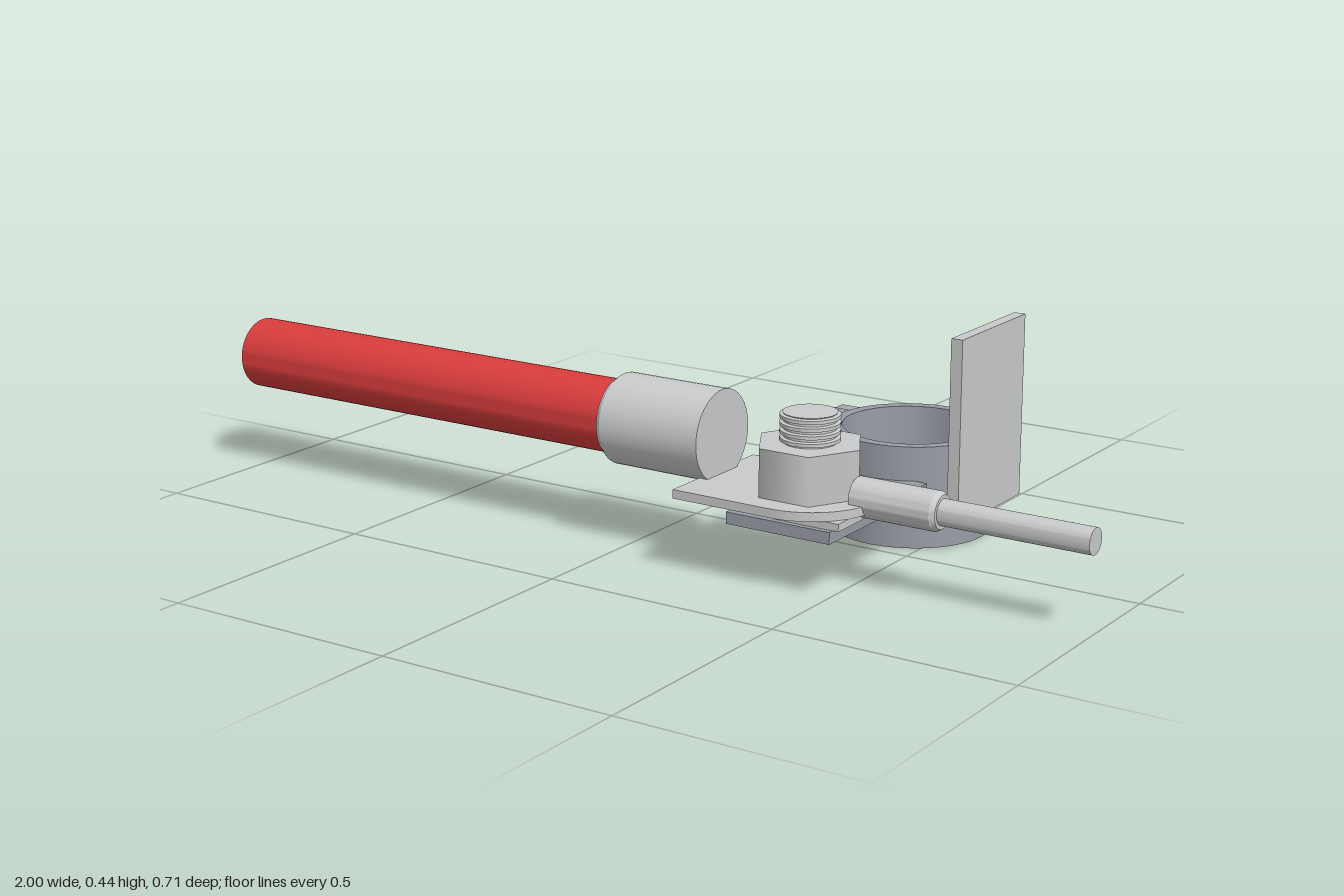
import * as THREE from 'three';
import { toCreasedNormals } from 'three/addons/utils/BufferGeometryUtils.js';

const mat = (name, color) => {
  const m = new THREE.MeshStandardMaterial({ color });
  m.name = name;
  return m;
};

export function createModel() {
  const group = new THREE.Group();
  const tin = mat('tinned metal', 0xc9cacb);
  const clamp = mat('clamp steel', 0x989da5);
  const bolt = mat('bolt steel', 0xbbbdbf);
  const red = mat('red insulation', 0xd93c3c);

  const add = (name, geometry, material, x = 0, y = 0, z = 0) => {
    const mesh = new THREE.Mesh(geometry, material);
    mesh.name = name;
    mesh.position.set(x, y, z);
    group.add(mesh);
    return mesh;
  };
  // Box given by its limits on each axis
  const box = (name, material, [x0, x1], [y0, y1], [z0, z1]) =>
    add(name, new THREE.BoxGeometry(x1 - x0, y1 - y0, z1 - z0), material,
      (x0 + x1) / 2, (y0 + y1) / 2, (z0 + z1) / 2);
  // Turned part from [radius, height] pairs, listed bottom to top
  const turned = (profile) => toCreasedNormals(new THREE.LatheGeometry(
    profile.map(([r, h]) => new THREE.Vector2(r, h)), 48), 0.45);
  const turnedX = (profile) => turned(profile).rotateZ(-Math.PI / 2);
  const hex = (r, h) => new THREE.CylinderGeometry(r, r, h, 6).toNonIndexed().rotateY(Math.PI / 2);
  // Flat outline raised upwards
  const plate = (shape, h) => new THREE.ExtrudeGeometry(shape,
    { depth: h, bevelEnabled: false, curveSegments: 40 }).rotateX(-Math.PI / 2);

  const sx = 0.4, sz = 0.208; // stud axis
  const ringZ = -0.19;

  // Red cable and its crimp barrel
  add('redCable', turnedX([[0, -1], [0.075, -1], [0.075, 0], [0, 0]]), red, 0, 0.25, sz);
  add('cableBarrel', turnedX([[0, -0.043], [0.084, -0.043], [0.093, -0.03], [0.093, 0.2], [0, 0.2]]),
    tin, 0, 0.25, sz);

  // Large lug palm, rounded around the stud
  const palm = new THREE.Shape();
  palm.moveTo(-0.22, -0.143);
  palm.lineTo(0, -0.143);
  palm.absarc(0, 0, 0.143, -Math.PI / 2, Math.PI / 2, false);
  palm.lineTo(-0.22, 0.143);
  palm.closePath();
  add('largeLugPalm', plate(palm, 0.018), tin, sx, 0.155, sz);

  // Small lug palm, barrel and thin wire
  const smallPalm = new THREE.Shape();
  smallPalm.moveTo(0.127, 0.105);
  smallPalm.lineTo(0, 0.105);
  smallPalm.absarc(0, 0, 0.105, Math.PI / 2, Math.PI * 1.5, false);
  smallPalm.lineTo(0.127, -0.105);
  smallPalm.closePath();
  add('smallLugPalm', plate(smallPalm, 0.015), tin, sx, 0.14, sz);
  add('smallBarrel', turnedX([[0, 0.508], [0.039, 0.508], [0.039, 0.68], [0.033, 0.69], [0, 0.69]]),
    tin, 0, 0.18, sz);
  add('thinWire', turnedX([[0, 0.6], [0.026, 0.6], [0.026, 1], [0, 1]]), tin, 0, 0.18, sz);

  // Stud with thread ridges, and its nut
  add('studNut', hex(0.11, 0.097), tin, sx, 0.2215, sz);
  const thread = [[0, 0.113], [0.052, 0.113], [0.052, 0.27]];
  for (let i = 0; i < 4; i++) {
    const y = 0.272 + i * 0.015;
    thread.push([0.052, y], [0.059, y + 0.002], [0.059, y + 0.009], [0.052, y + 0.011]);
  }
  thread.push([0.053, 0.33], [0, 0.33]);
  add('threadedStud', turned(thread), tin, sx, 0, sz);

  // Clamp: ring, tongue carrying the stud, and upright plate
  const ring = new THREE.Shape();
  ring.absarc(0, 0, 0.165, 0, Math.PI * 2, false);
  const bore = new THREE.Path();
  bore.absarc(0, 0, 0.142, 0, Math.PI * 2, true);
  ring.holes.push(bore);
  add('clampRing', toCreasedNormals(plate(ring, 0.21), 0.45), clamp, sx, 0, ringZ);
  box('clampTongue', clamp, [0.285, 0.515], [0.116, 0.14], [-0.05, 0.325]);
  box('uprightPlate', tin, [0.558, 0.583], [0.06, 0.44], [-0.32, -0.054]);

  // Clamp ears and the cross bolt
  for (const z of [-0.232, -0.152]) {
    box('clampEar', clamp, [0.13, 0.25], [0.025, 0.197], [z - 0.026, z + 0.026]);
  }
  const bx = 0.183, by = 0.105;
  const alongZ = (geometry) => geometry.rotateX(Math.PI / 2);
  add('boltShank', alongZ(new THREE.CylinderGeometry(0.04, 0.04, 0.26, 32)), bolt, bx, by, ringZ);
  add('boltHead', alongZ(hex(0.083, 0.082)), bolt, bx, by, -0.31);
  add('boltNut', alongZ(hex(0.083, 0.052)), bolt, bx, by, -0.086);

  return group;
}
